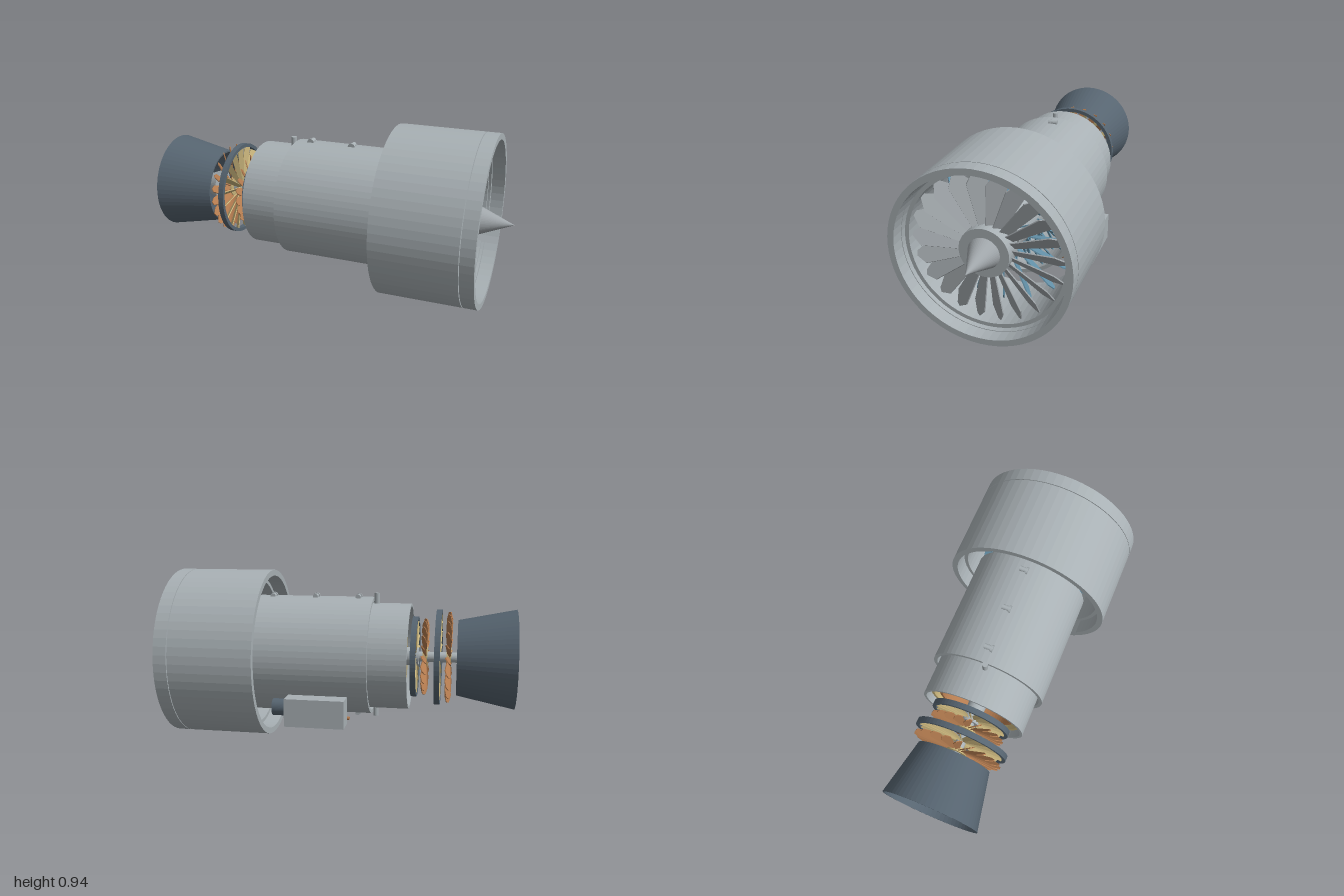
import * as THREE from 'three';
import { mergeGeometries } from 'three/addons/utils/BufferGeometryUtils.js';

const AXIS_Y = 0.468;

function flat(geo) {
  const g = geo.index ? geo.toNonIndexed() : geo;
  g.computeVertexNormals();
  return g;
}

// Revolve [x, radius] points around the engine axis (+x)
function revolve(points, segments = 64) {
  const g = new THREE.LatheGeometry(points.map(([x, r]) => new THREE.Vector2(r, x)), segments);
  return flat(g.rotateZ(-Math.PI / 2));
}
const ring = (x0, x1, outer, inner) =>
  revolve([[x0, outer], [x1, outer], [x1, inner], [x0, inner], [x0, outer]]);
const disc = (x0, x1, r) => revolve([[x0, 0], [x0, r], [x1, r], [x1, 0]], 48);

// One blade pointing up, lofted through [radius, chord] sections
function blade(sections, pitch, thickness) {
  const s = Math.sin(pitch), c = Math.cos(pitch), pos = [], idx = [];
  for (const [r, chord] of sections) {
    for (const [u, v] of [[1, 1], [-1, 1], [-1, -1], [1, -1]]) {
      const a = u * chord / 2, b = v * thickness / 2;
      pos.push(a * c + b * s, r, a * s - b * c);
    }
  }
  for (let k = 0; k < sections.length - 1; k++) {
    for (let i = 0; i < 4; i++) {
      const a = k * 4 + i, b = k * 4 + (i + 1) % 4;
      idx.push(a, b, b + 4, a, b + 4, a + 4);
    }
  }
  const t = (sections.length - 1) * 4;
  idx.push(0, 2, 1, 0, 3, 2, t, t + 1, t + 2, t, t + 2, t + 3);
  const g = new THREE.BufferGeometry();
  g.setAttribute('position', new THREE.Float32BufferAttribute(pos, 3));
  g.setIndex(idx);
  return flat(g);
}

// Circle of equal blades at station x
function bladeRow(x, count, sections, pitch, thickness, offset = 0) {
  const one = blade(sections, pitch, thickness), all = [];
  for (let i = 0; i < count; i++) {
    all.push(one.clone().rotateX(offset + i * 2 * Math.PI / count));
  }
  return mergeGeometries(all).translate(x, 0, 0);
}

export function createModel() {
  const model = new THREE.Group();
  model.name = 'turbofanEngine';
  const engine = new THREE.Group();
  engine.name = 'engine';
  engine.position.y = AXIS_Y;
  model.add(engine);

  const material = (name, color) => {
    const m = new THREE.MeshStandardMaterial({ color });
    m.name = name;
    return m;
  };
  const casing = material('casingGrey', 0xa8b0b4);
  const steel = material('bladeSteel', 0xa0a6aa);
  const slate = material('darkSlate', 0x566470);
  const blue = material('compressorBlue', 0x6593ab);
  const copper = material('copper', 0xb47c50);
  const gold = material('gold', 0xc6b27a);

  const add = (name, geo, mat, x = 0, y = 0, z = 0) => {
    const m = new THREE.Mesh(geo, mat);
    m.name = name;
    m.position.set(x, y, z);
    engine.add(m);
    return m;
  };

  // Casings
  add('inletLip', ring(0.807, 0.88, 0.468, 0.435), casing);
  add('fanCase', ring(0.345, 0.803, 0.468, 0.435), casing);
  add('fanLiner', ring(0.42, 0.79, 0.423, 0.402), casing);
  add('coreCase', ring(-0.23, 0.42, 0.325, 0.305), casing);
  add('rearCase', ring(-0.435, -0.2, 0.292, 0.277), casing);

  // Fan and spinner
  add('spinner', revolve([[0.8, 0], [0.8, 0.083], [1, 0]], 48), steel);
  add('fanHub', disc(0.69, 0.8, 0.13), casing);
  add('fanBlades', bladeRow(0.745, 22,
    [[0.11, 0.055], [0.345, 0.108], [0.412, 0.012]], 0.87, 0.006, 0.125), steel);

  // Guide vanes and compressor stages
  add('guideVanes', bladeRow(0.57, 16, [[0.1, 0.06], [0.35, 0.09], [0.39, 0.03]], 0.35, 0.006), blue);
  add('compressorDrum', revolve([[-0.1, 0], [-0.1, 0.17], [0.62, 0.11], [0.62, 0]], 48), casing);
  for (let i = 0; i < 4; i++) {
    add('compressorBlades' + (i + 1), bladeRow(0.4 - i * 0.12, 24,
      [[0.1, 0.04], [0.295 - i * 0.01, 0.055]], 0.7, 0.005, i * 0.1), blue);
  }

  // Combustor liners
  add('outerCombustorLiner', ring(-0.4, -0.12, 0.262, 0.245), gold);
  add('innerCombustorLiner', ring(-0.39, -0.12, 0.215, 0.2), copper);
  add('combustorDome', ring(-0.14, -0.12, 0.262, 0.15), copper);

  // Shaft
  add('mainShaft', disc(-0.75, 0.7, 0.028), casing);
  add('shaftCollar', disc(-0.48, -0.3, 0.05), casing);

  // Turbine: stator rings with vanes, and rotors
  const stators = [[-0.46, 0.222], [-0.588, 0.262]];
  stators.forEach(([x, r], i) => {
    add('statorRing' + (i + 1), ring(x - 0.015, x + 0.015, r, r - 0.02), slate);
    add('statorVanes' + (i + 1), bladeRow(x, 18,
      [[0.025, 0.02], [r - 0.018, 0.034]], -0.75, 0.005), gold);
  });
  const rotors = [[-0.515, 0.21], [-0.645, 0.25]];
  rotors.forEach(([x, r], i) => {
    add('turbineHub' + (i + 1), disc(x - 0.013, x + 0.013, 0.055), gold);
    add('turbineBlades' + (i + 1), bladeRow(x, 20,
      [[0.04, 0.022], [r * 0.86, 0.05], [r, 0.02]], 0.95, 0.005, 0.08), copper);
  });

  // Exhaust nozzle (thin open cone) and tail cone
  add('exhaustNozzle', revolve([[-1, 0.27], [-0.69, 0.207], [-0.69, 0.199], [-1, 0.262], [-1, 0.27]]), slate);
  add('tailCone', revolve([[-0.95, 0], [-0.72, 0.09], [-0.72, 0]], 48), casing);

  // Small fittings above and below the core
  for (const side of [1, -1]) {
    const end = side > 0 ? 'top' : 'bottom';
    add(end + 'FuelPort', flat(new THREE.CylinderGeometry(0.015, 0.015, 0.09, 20)), casing,
      -0.245, side * 0.303, 0);
    for (const x of [-0.145, 0.095, 0.338]) {
      add(end + 'SensorBody', flat(new THREE.CylinderGeometry(0.014, 0.014, 0.045, 16).rotateX(Math.PI / 2)),
        casing, x, side * 0.327, -0.0225);
      add(end + 'SensorCollar', flat(new THREE.CylinderGeometry(0.02, 0.02, 0.012, 16).rotateX(Math.PI / 2)),
        casing, x, side * 0.325, -0.002);
    }
  }

  // Accessory gearbox, starter and oil pipe
  add('gearbox', new THREE.BoxGeometry(0.32, 0.15, 0.11), casing, 0.04, -0.258, -0.315);
  add('starter', disc(0.19, 0.27, 0.045), slate, 0, -0.24, -0.315);
  const path = new THREE.CurvePath();
  const corners = [[-0.12, -0.322, -0.185], [0.2, -0.322, -0.185], [0.21, -0.3, -0.24], [0.235, -0.265, -0.3]]
    .map((p) => new THREE.Vector3(...p));
  for (let i = 0; i < 3; i++) path.add(new THREE.LineCurve3(corners[i], corners[i + 1]));
  add('oilPipe', new THREE.TubeGeometry(path, 48, 0.01, 12), copper);
  add('oilPipeEnd', disc(-0.122, -0.115, 0.01), copper, 0, -0.322, -0.185);

  return model;
}
